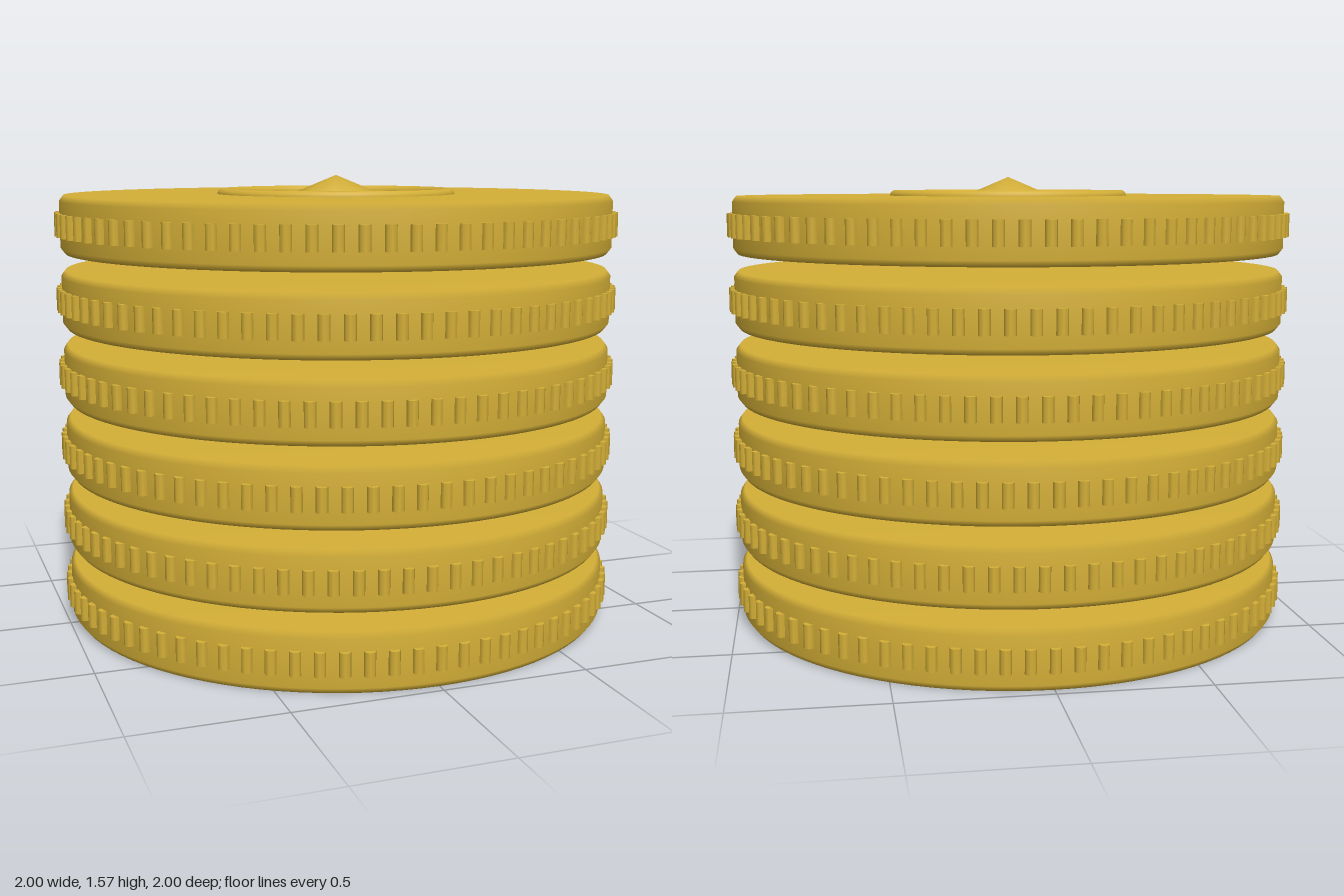
import * as THREE from 'three';
import { mergeGeometries } from 'three/addons/utils/BufferGeometryUtils.js';

const COINS = 6, PITCH = 0.26, THICK = 0.2, RADIUS = 0.98, RIDGES = 80;

// Softly shaded disc with narrow bevels
function coinGeometry() {
  const profile = [
    [0, 0], [0.965, 0], [RADIUS, 0.02], [RADIUS, THICK - 0.02], [0.965, THICK], [0, THICK],
  ].map(([x, y]) => new THREE.Vector2(x, y));
  return new THREE.LatheGeometry(profile, 96);
}

// Ring of small upright rods set into the edge
function ridgeGeometry() {
  const rods = [];
  for (let i = 0; i < RIDGES; i++) {
    const rod = new THREE.CylinderGeometry(0.019, 0.019, 0.08, 8);
    rod.translate(0, THICK / 2, RADIUS);
    rod.rotateY((i / RIDGES) * Math.PI * 2);
    rods.push(rod);
  }
  return mergeGeometries(rods);
}

export function createModel() {
  const model = new THREE.Group();
  model.name = 'coinStack';
  const gold = new THREE.MeshStandardMaterial({ color: 0xd4af37 });
  gold.name = 'gold';

  const add = (parent, name, geometry) => {
    const mesh = new THREE.Mesh(geometry, gold);
    mesh.name = name;
    parent.add(mesh);
    return mesh;
  };

  // Stack of coins, each turned a little further than the one below
  const disc = coinGeometry(), ridges = ridgeGeometry();
  for (let i = 0; i < COINS; i++) {
    const coin = new THREE.Group();
    coin.name = `coin${i + 1}`;
    coin.position.y = i * PITCH;
    coin.rotation.y = i * 0.2;
    add(coin, 'disc', disc);
    add(coin, 'edgeRidges', ridges);
    model.add(coin);
  }

  // Raised ring and faceted stud on the top coin
  const topY = (COINS - 1) * PITCH + THICK;
  const ring = add(model, 'topRing', new THREE.TorusGeometry(0.405, 0.022, 10, 64));
  ring.rotation.x = Math.PI / 2;
  ring.position.y = topY - 0.002;

  const stud = add(model, 'topStud',
    new THREE.SphereGeometry(0.2, 8, 2, 0, Math.PI * 2, 0, Math.PI / 2));
  stud.rotation.y = Math.PI / 8;
  stud.position.y = topY - 0.134;

  return model;
}
